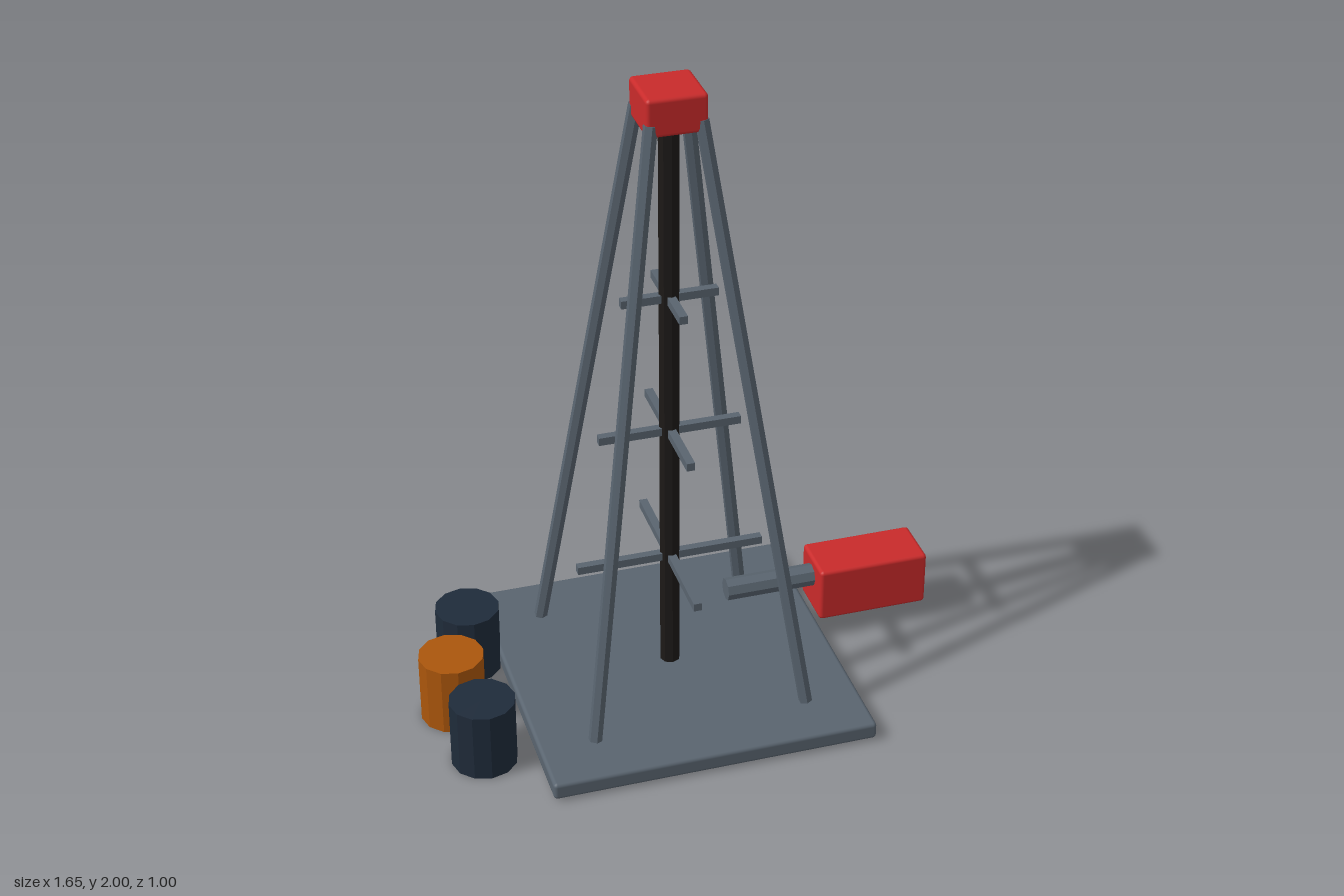
import * as THREE from 'three';
import { toCreasedNormals } from 'three/addons/utils/BufferGeometryUtils.js';
import { RoundedBoxGeometry } from 'three/addons/geometries/RoundedBoxGeometry.js';

function material(name, color) {
  const m = new THREE.MeshStandardMaterial({ color });
  m.name = name;
  return m;
}

export function createModel() {
  const slate = material('slate steel', 0x59646f);
  const red = material('red paint', 0xc92a2a);
  const black = material('black pipe', 0x1c1917);
  const navy = material('navy drum', 0x1f2b3a);
  const orange = material('orange drum', 0xab560c);

  const group = new THREE.Group();
  const cx = -0.04; // tower axis

  function add(name, geometry, mat, x, y, z) {
    const mesh = new THREE.Mesh(geometry, mat);
    mesh.name = name;
    mesh.position.set(x, y, z);
    group.add(mesh);
    return mesh;
  }
  const block = (w, h, d) => new RoundedBoxGeometry(w, h, d, 2, 0.012);
  // faceted cylinder with hard edges
  const prism = (r, h, sides) => toCreasedNormals(new THREE.CylinderGeometry(r, r, h, sides), 0.3);

  // base plate, top block and central pipe
  add('basePlate', block(1.0, 0.055, 1.0), slate, cx, 0.034, 0);
  add('crownBlock', block(0.178, 0.115, 0.178), red, cx, 1.9425, 0);
  add('drillPipe', prism(0.031, 1.86, 8), black, cx, 0.97, 0);

  // four leaning legs
  const up = new THREE.Vector3(0, 1, 0);
  for (const sx of [-1, 1]) {
    for (const sz of [-1, 1]) {
      const foot = new THREE.Vector3(cx + sx * 0.33, 0.062, sz * 0.33);
      const top = new THREE.Vector3(cx + sx * 0.073, 1.92, sz * 0.073);
      const dir = top.clone().sub(foot);
      const leg = add('leg', prism(0.021, dir.length(), 6), slate, 0, 0, 0);
      leg.position.copy(foot).add(top).multiplyScalar(0.5);
      leg.quaternion.setFromUnitVectors(up, dir.normalize());
    }
  }

  // crossed braces, shorter towards the top
  [[0.45, 0.58], [0.895, 0.435], [1.34, 0.29]].forEach(([y, length]) => {
    add('crossBraceX', new THREE.BoxGeometry(length, 0.025, 0.025), slate, cx, y, 0);
    add('crossBraceZ', new THREE.BoxGeometry(0.025, 0.025, length), slate, cx, y, 0);
  });

  // motor on its horizontal shaft
  add('motorHousing', block(0.355, 0.18, 0.175), red, 0.643, 0.156, -0.125);
  const shaft = add('motorShaft', prism(0.036, 0.32, 8), slate, 0.34, 0.186, -0.125);
  shaft.rotation.z = Math.PI / 2;

  // drums beside the base
  [[-0.628, -0.223, navy], [-0.728, 0, orange], [-0.688, 0.24, navy]].forEach(([x, z, mat]) => {
    add('drum', prism(0.1, 0.22, 12), mat, x, 0.11, z);
  });

  return group;
}
